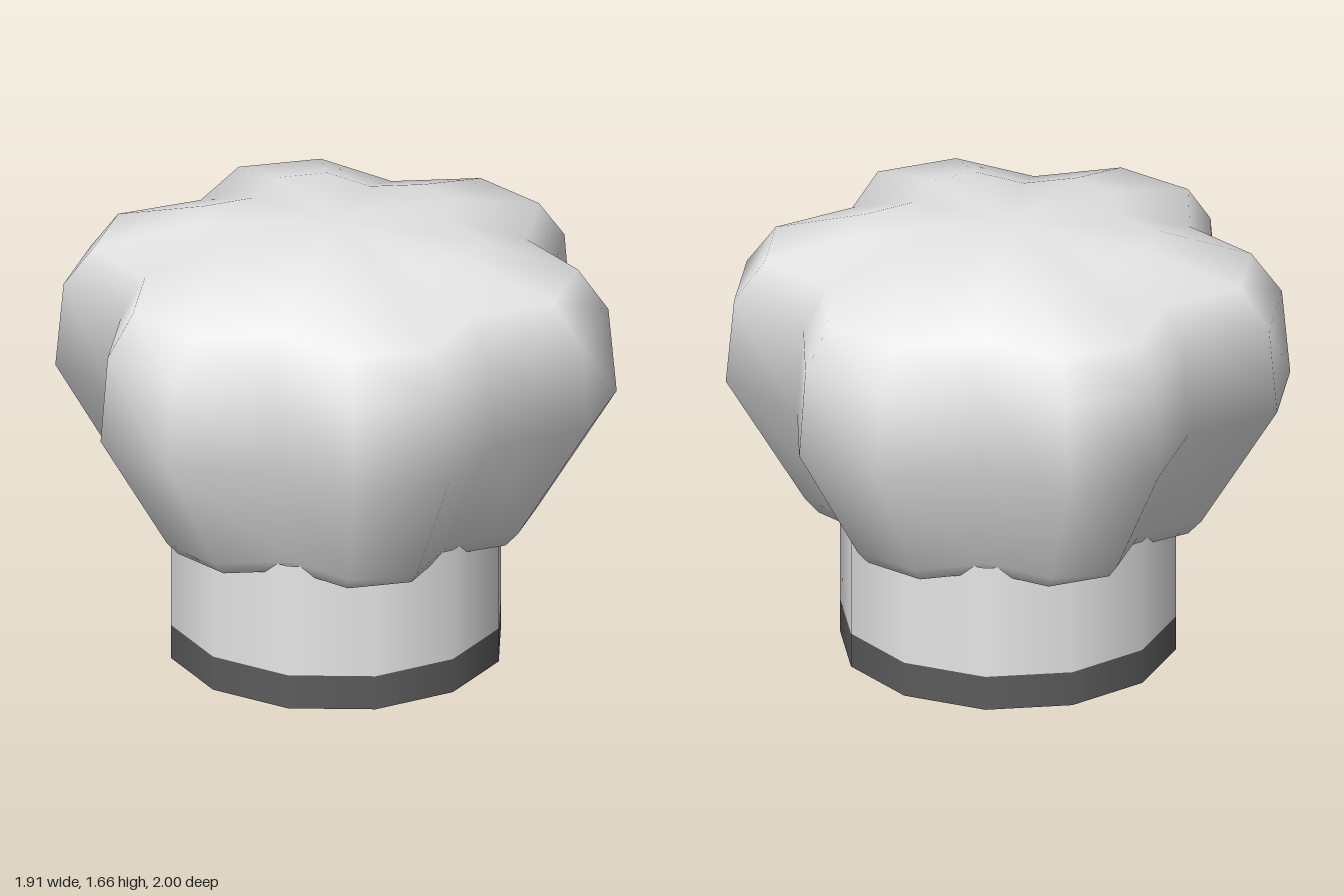
import * as THREE from 'three';
import { mergeVertices } from 'three/addons/utils/BufferGeometryUtils.js';

export function createModel() {
  const group = new THREE.Group();
  const white = new THREE.MeshStandardMaterial({ color: 0xf0f0f0, side: THREE.DoubleSide });
  white.name = 'white cloth';
  const grey = new THREE.MeshStandardMaterial({ color: 0x5c5c5c, side: THREE.DoubleSide });
  grey.name = 'dark trim';

  // Puffy crown: turned profile with every third column pulled in, giving six lobes
  const profile = [
    [0, 0.49], [0.6, 0.495], [0.68, 0.515], [0.73, 0.57], [1.015, 1.04],
    [0.985, 1.36], [0.875, 1.51], [0.53, 1.61], [0, 1.66],
  ].map(([r, y]) => new THREE.Vector2(r, y));
  const sides = 18;
  let crown = new THREE.LatheGeometry(profile, sides, Math.PI / 18);
  const pos = crown.attributes.position;
  for (let i = 0; i < pos.count; i++) {
    const column = Math.floor(i / profile.length);
    if (column % 3 === 1) pos.setXYZ(i, pos.getX(i) * 0.807, pos.getY(i), pos.getZ(i) * 0.807);
  }
  crown.deleteAttribute('normal');
  crown.deleteAttribute('uv');
  crown = mergeVertices(crown, 1e-4);
  crown.computeVertexNormals();
  const crownMesh = new THREE.Mesh(crown, white);
  crownMesh.name = 'crown';
  group.add(crownMesh);

  // Open twelve-sided head band with a dark lower trim
  const ring = (name, y0, y1, material) => {
    const mesh = new THREE.Mesh(new THREE.CylinderGeometry(0.61, 0.61, y1 - y0, 12, 1, true), material);
    mesh.position.y = (y0 + y1) / 2;
    mesh.name = name;
    group.add(mesh);
  };
  ring('headBand', 0.13, 0.56, white);
  ring('bandTrim', 0, 0.13, grey);

  return group;
}
